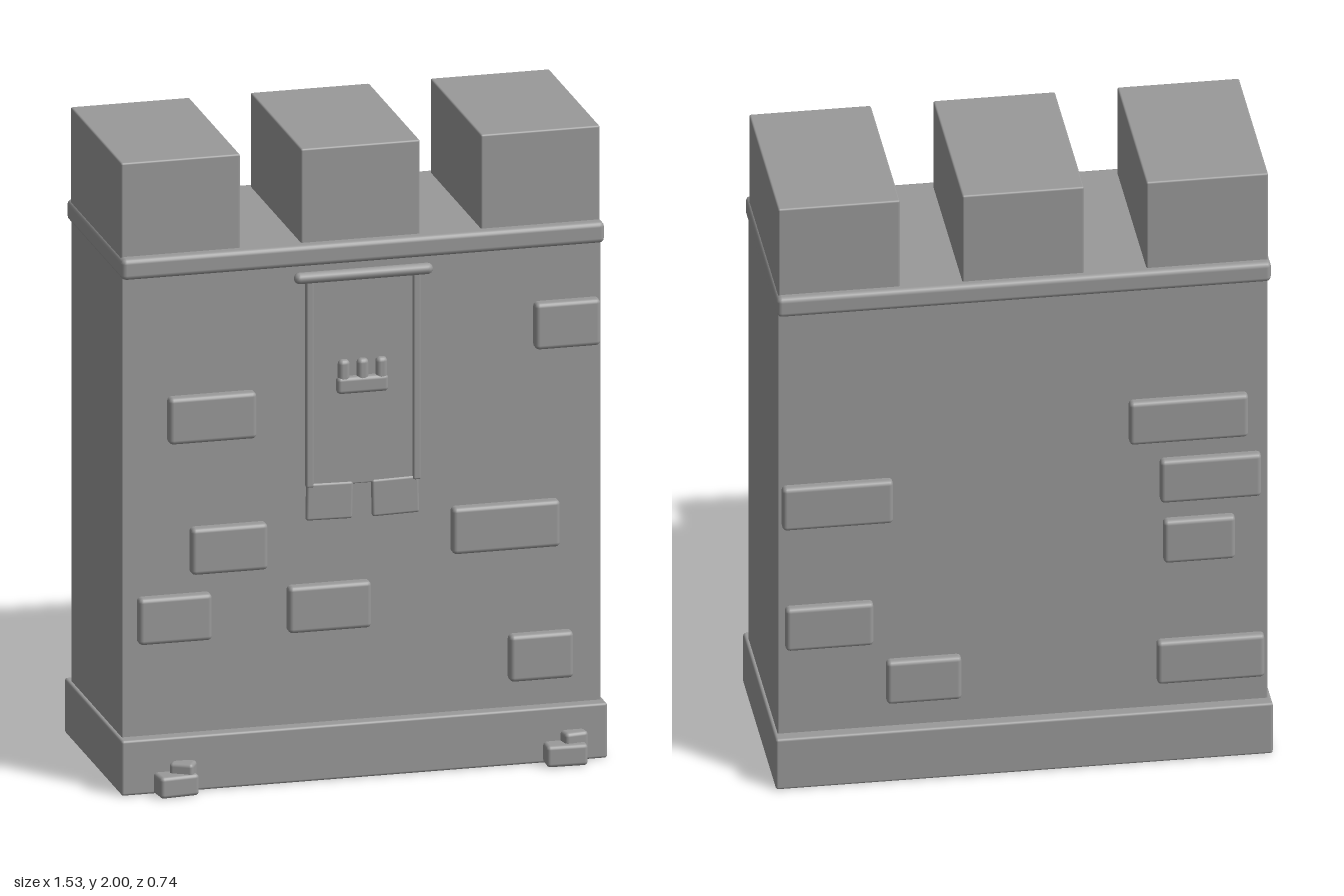
import * as THREE from 'three';
import { RoundedBoxGeometry } from 'three/addons/geometries/RoundedBoxGeometry.js';

export function createModel() {
  const model = new THREE.Group();
  model.name = 'castleWall';
  const stone = new THREE.MeshStandardMaterial({ color: 0x999999 });
  stone.name = 'stone grey';

  // Rounded box given by its extents on each axis
  function block(name, [x0, x1], [y0, y1], [z0, z1], radius, parent = model) {
    const geometry = new RoundedBoxGeometry(x1 - x0, y1 - y0, z1 - z0, 2, radius);
    const mesh = new THREE.Mesh(geometry, stone);
    mesh.position.set((x0 + x1) / 2, (y0 + y1) / 2, (z0 + z1) / 2);
    mesh.name = name;
    parent.add(mesh);
    return mesh;
  }

  // Main masses
  block('base', [-0.763, 0.763], [0, 0.175], [-0.373, 0.303], 0.008);
  block('wall', [-0.752, 0.752], [0.1, 1.69], [-0.335, 0.263], 0.004);
  block('ledge', [-0.76, 0.757], [1.635, 1.702], [-0.362, 0.297], 0.016);
  for (const x of [-0.567, -0.002, 0.563]) {
    block('battlement', [x - 0.187, x + 0.187], [1.66, 2], [-0.335, 0.263], 0.006);
  }

  // Raised bricks: [x from, x to, bottom]
  const frontBricks = [
    [0.54, 0.745, 1.31], [-0.61, -0.335, 1.1], [-0.54, -0.3, 0.68], [0.28, 0.618, 0.68],
    [-0.705, -0.475, 0.47], [-0.235, 0.025, 0.47], [0.46, 0.66, 0.26],
  ];
  const backBricks = [
    [0.4, 0.74, 0.89], [0.46, 0.73, 0.47], [0.19, 0.42, 0.26], [-0.69, -0.325, 1.1],
    [-0.73, -0.42, 0.89], [-0.65, -0.43, 0.68], [-0.74, -0.41, 0.26],
  ];
  for (const [a, b, y] of frontBricks) block('frontBrick', [a, b], [y, y + 0.148], [0.225, 0.296], 0.014);
  for (const [a, b, y] of backBricks) block('backBrick', [a, b], [y, y + 0.148], [-0.362, -0.3], 0.014);

  // Hanging banner with side hems and two tails
  const banner = new THREE.Group();
  banner.name = 'banner';
  model.add(banner);
  block('bannerCloth', [-0.175, 0.172], [0.93, 1.59], [0.268, 0.284], 0.004, banner);
  for (const x of [-0.168, 0.168]) {
    block('bannerHem', [x - 0.012, x + 0.012], [0.93, 1.59], [0.27, 0.294], 0.006, banner);
  }
  for (const [a, b, tilt] of [[-0.178, -0.032, -0.02], [0.028, 0.176, 0.02]]) {
    block('bannerTail', [a, b], [0.822, 0.94], [0.268, 0.288], 0.008, banner).rotation.z = tilt;
  }
  const rod = new THREE.Mesh(new THREE.CapsuleGeometry(0.018, 0.4, 4, 12), stone);
  rod.name = 'bannerRod';
  rod.rotation.z = Math.PI / 2;
  rod.position.set(-0.002, 1.6, 0.295);
  banner.add(rod);

  // Small tower emblem on the cloth
  block('emblemBar', [-0.085, 0.076], [1.222, 1.275], [0.272, 0.306], 0.012, banner);
  for (const x of [-0.062, -0.003, 0.056]) {
    block('emblemTooth', [x - 0.018, x + 0.018], [1.25, 1.33], [0.272, 0.304], 0.014, banner);
  }

  // Loose stones against the foot of the wall
  const stones = [
    [[-0.66, -0.535], [0, 0.068], [0.285, 0.362], 0.1],
    [[-0.61, -0.535], [0.01, 0.1], [0.285, 0.342], -0.5],
    [[0.56, 0.688], [0, 0.068], [0.285, 0.362], -0.04],
    [[0.617, 0.693], [0.01, 0.1], [0.285, 0.34], 0.15],
  ];
  for (const [x, y, z, turn] of stones) block('looseStone', x, y, z, 0.012).rotation.y = turn;

  return model;
}
